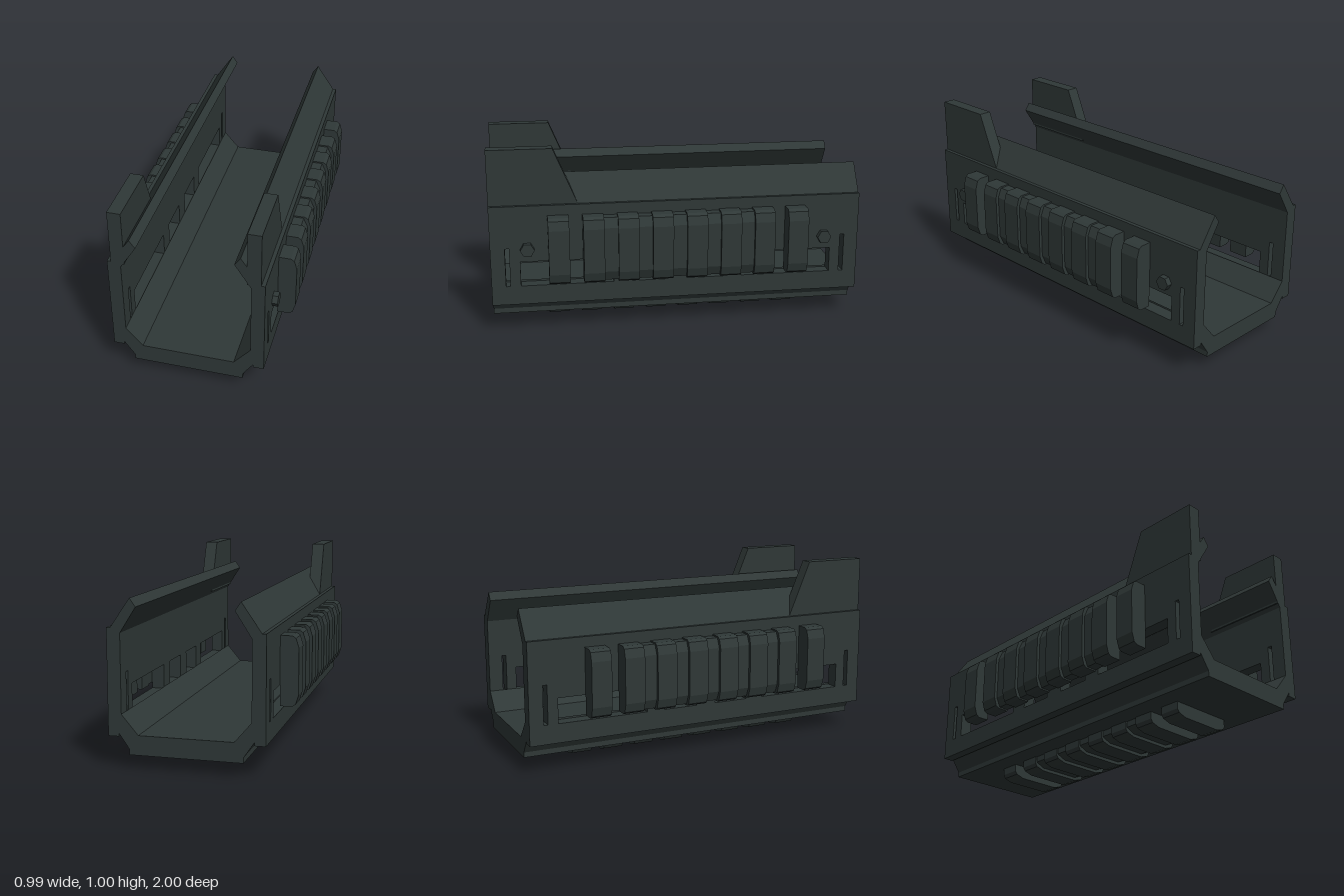
import * as THREE from 'three';

const gunGrey = new THREE.MeshStandardMaterial({ color: 0x2f3837 });
gunGrey.name = 'dark grey green';

const shapeOf = (pts) => new THREE.Shape(pts.map(([x, y]) => new THREE.Vector2(x, y)));

// Cross-section in x/y swept along z between z0 and z1
function sweepZ(pts, z0, z1) {
  const g = new THREE.ExtrudeGeometry(shapeOf(pts), { depth: z1 - z0, bevelEnabled: false });
  return g.translate(0, 0, z0);
}

// Outline given as [-z, y], swept along x between x0 and x1
function sweepX(shape, x0, x1) {
  const g = new THREE.ExtrudeGeometry(shape, { depth: x1 - x0, bevelEnabled: false });
  return g.rotateY(Math.PI / 2).translate(x0, 0, 0);
}

const mirrored = (half) => [...half, ...half.map(([x, y]) => [-x, y]).reverse()];

function add(parent, geometry, name) {
  const mesh = new THREE.Mesh(geometry, gunGrey);
  mesh.name = name;
  parent.add(mesh);
  return mesh;
}

// Side wall with cooling windows and end slots
function wallShape() {
  const shape = shapeOf([[-1, 0.2], [1, 0.2], [1, 0.705], [-1, 0.705]]);
  const cut = (a, b, y0, y1) => shape.holes.push(
    new THREE.Path([[a, y0], [a, y1], [b, y1], [b, y0]].map(([x, y]) => new THREE.Vector2(x, y))));
  for (const [a, b] of [[-0.845, -0.35], [-0.25, -0.055], [0.055, 0.25], [0.35, 0.845]]) cut(a, b, 0.265, 0.4);
  for (const s of [-0.9125, 0.9125]) cut(s - 0.0115, s + 0.0115, 0.265, 0.475);
  return shape;
}

// Accessory rail: low core, six joined teeth and one loose tooth at each end
function makeRail(name) {
  const rail = new THREE.Group();
  rail.name = name;
  const core = mirrored([[0.172, 0], [0.172, 0.055], [0.12, 0.078]]);
  const tooth = mirrored([[0.18, 0], [0.18, 0.062], [0.168, 0.08], [0.12, 0.095]]);
  add(rail, sweepZ(core, -0.5, 0.5), 'railCore');
  for (let i = 0; i < 8; i++) {
    const z = (i - 3.5) * 0.183;
    add(rail, sweepZ(tooth, z - 0.055, z + 0.055), 'railTooth');
  }
  return rail;
}

export function createModel() {
  const model = new THREE.Group();
  model.name = 'handguard';

  // Trough floor with chamfered corners and lower flanges
  const floor = mirrored([
    [0.29, 0.072], [0.29, 0.1], [0.345, 0.18], [0.345, 0.162], [0.4, 0.162],
    [0.4, 0.2], [0.33, 0.2], [0.33, 0.275], [0.243, 0.173],
  ]);
  add(model, sweepZ(floor, -1, 1), 'floor');

  for (const s of [1, -1]) {
    const side = s > 0 ? 'left' : 'right';
    const span = (a, b) => (s > 0 ? [a, b] : [-b, -a]);

    add(model, sweepX(wallShape(), ...span(0.33, 0.4)), side + 'Wall');

    // Inward-leaning lip
    const lip = [[0.33, 0.68], [0.33, 0.705], [0.38, 0.705], [0.278, 0.853], [0.247, 0.81]];
    add(model, sweepZ(lip.map(([x, y]) => [x * s, y]), -1, 1), side + 'Lip');

    // Upright tab at the front
    const tab = shapeOf([[-1, 0.7], [-0.53, 0.7], [-0.657, 1.003], [-1, 1.003]]);
    add(model, sweepX(tab, ...span(0.31, 0.38)), side + 'Tab');

    // Side rail
    const rail = makeRail(side + 'Rail');
    rail.rotation.z = -s * Math.PI / 2;
    rail.position.set(0.4 * s, 0.47, 0);
    model.add(rail);
  }

  // Rail under the floor
  const bottomRail = makeRail('bottomRail');
  bottomRail.rotation.z = Math.PI;
  bottomRail.position.y = 0.095;
  model.add(bottomRail);

  // Hexagonal studs on the left wall
  for (const z of [-0.805, 0.805]) {
    const g = new THREE.CylinderGeometry(0.038, 0.038, 0.04, 6).toNonIndexed();
    g.computeVertexNormals();
    const stud = add(model, g.rotateZ(-Math.PI / 2), 'stud');
    stud.position.set(0.41, 0.47, z);
  }
  return model;
}
